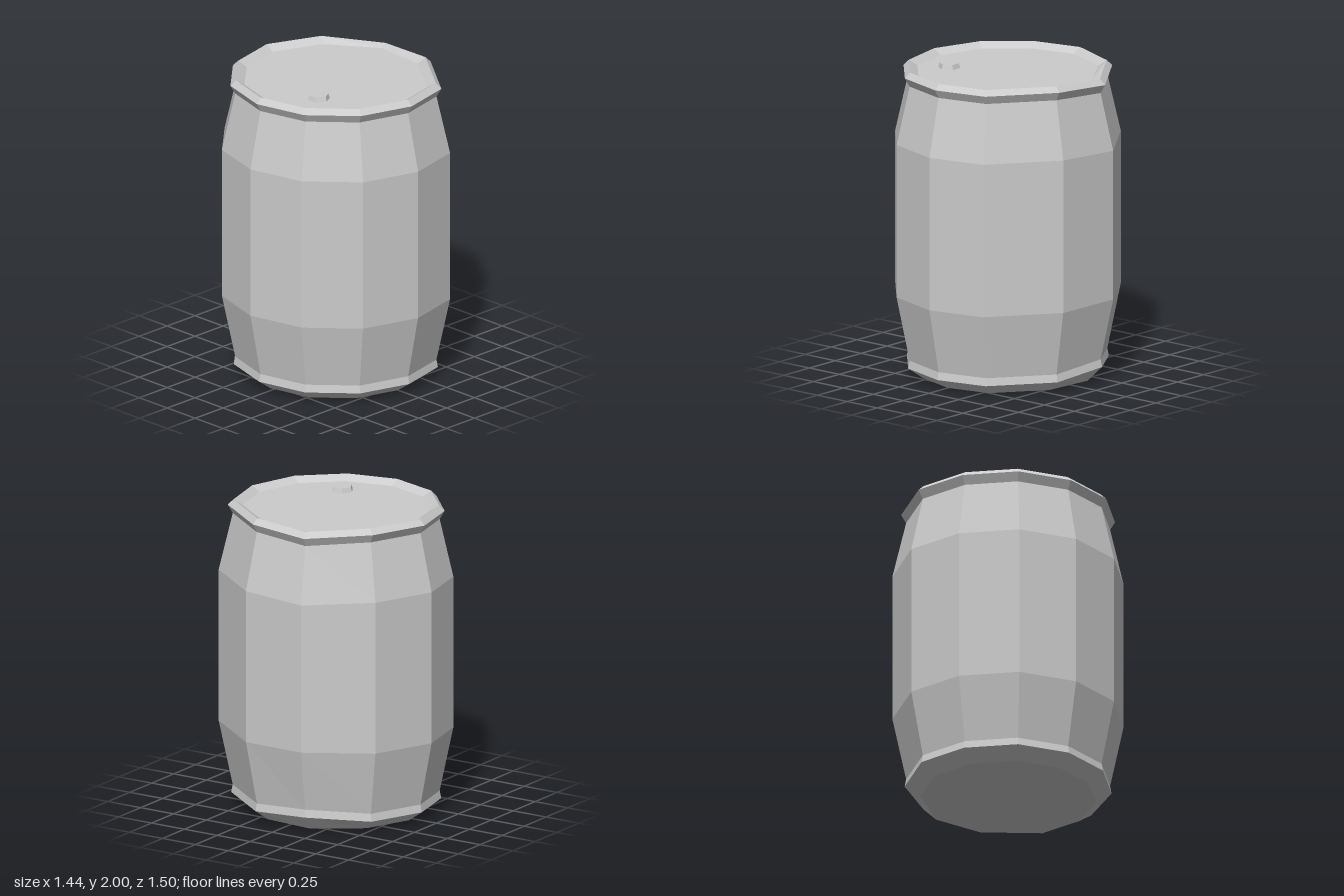
import * as THREE from 'three';

// Uneven eleven-sided outline of the belly, as [x, z], running back -> +x -> front -> -x
const OUTLINE = [
  [0.055, -0.75], [0.45, -0.586], [0.72, -0.2], [0.685, 0.242], [0.375, 0.657], [0, 0.745],
  [-0.376, 0.628], [-0.637, 0.34], [-0.72, -0.035], [-0.606, -0.404], [-0.32, -0.665],
];
const DENT = 2; // the corner where the rims are bent towards the middle
const LID_Y = 1.965, LID_SCALE = 0.8, BASE_SCALE = 0.76;

// Rings as [height, outline scale, height change at the dented corner]
const BASE_RIM = [[0, BASE_SCALE, 0], [0.07, 0.895, 0.03], [0.12, 0.882, 0.03]];
const WALL = [[0.12, 0.882, 0.03], [0.54, 1, 0.01], [1.535, 1, -0.015], [1.91, 0.882, -0.022]];
const TOP_RIM = [[1.91, 0.882, -0.022], [1.965, 0.925, -0.022], [2, 0.876, -0.02], [LID_Y, LID_SCALE, 0]];

const material = new THREE.MeshStandardMaterial({ color: 0xcccccc, flatShading: true });

// Flat-faced band through a stack of rings
function band(rings) {
  const point = ([y, s, dent], i) => {
    const k = i % OUTLINE.length;
    return [OUTLINE[k][0] * s, y + (k === DENT ? dent : 0), OUTLINE[k][1] * s];
  };
  const pos = [];
  for (let j = 0; j < rings.length - 1; j++) {
    for (let i = 0; i < OUTLINE.length; i++) {
      const a = point(rings[j], i), b = point(rings[j + 1], i);
      const c = point(rings[j + 1], i + 1), d = point(rings[j], i + 1);
      pos.push(...a, ...b, ...c, ...a, ...c, ...d);
    }
  }
  const geo = new THREE.BufferGeometry();
  geo.setAttribute('position', new THREE.Float32BufferAttribute(pos, 3));
  geo.computeVertexNormals();
  return geo;
}

// Flat disc with the barrel outline; facing is 1 for up, -1 for down
function disc(scale, y, facing) {
  const shape = new THREE.Shape(OUTLINE.map(([x, z]) => new THREE.Vector2(x * scale, -facing * z * scale)));
  return new THREE.ShapeGeometry(shape).rotateX(-facing * Math.PI / 2).translate(0, y, 0);
}

export function createModel() {
  const barrel = new THREE.Group();
  barrel.name = 'barrel';
  const add = (name, geo) => {
    const mesh = new THREE.Mesh(geo, material);
    mesh.name = name;
    barrel.add(mesh);
    return mesh;
  };

  add('base', disc(BASE_SCALE, 0, -1));
  add('baseRim', band(BASE_RIM));
  add('wall', band(WALL));
  add('topRim', band(TOP_RIM));
  add('lid', disc(LID_SCALE, LID_Y, 1));

  // Small hexagonal plug on the lid
  const plug = add('plug', new THREE.CylinderGeometry(0.062, 0.072, 0.03, 6));
  plug.position.set(-0.323, LID_Y + 0.015, 0.18);

  return barrel;
}
